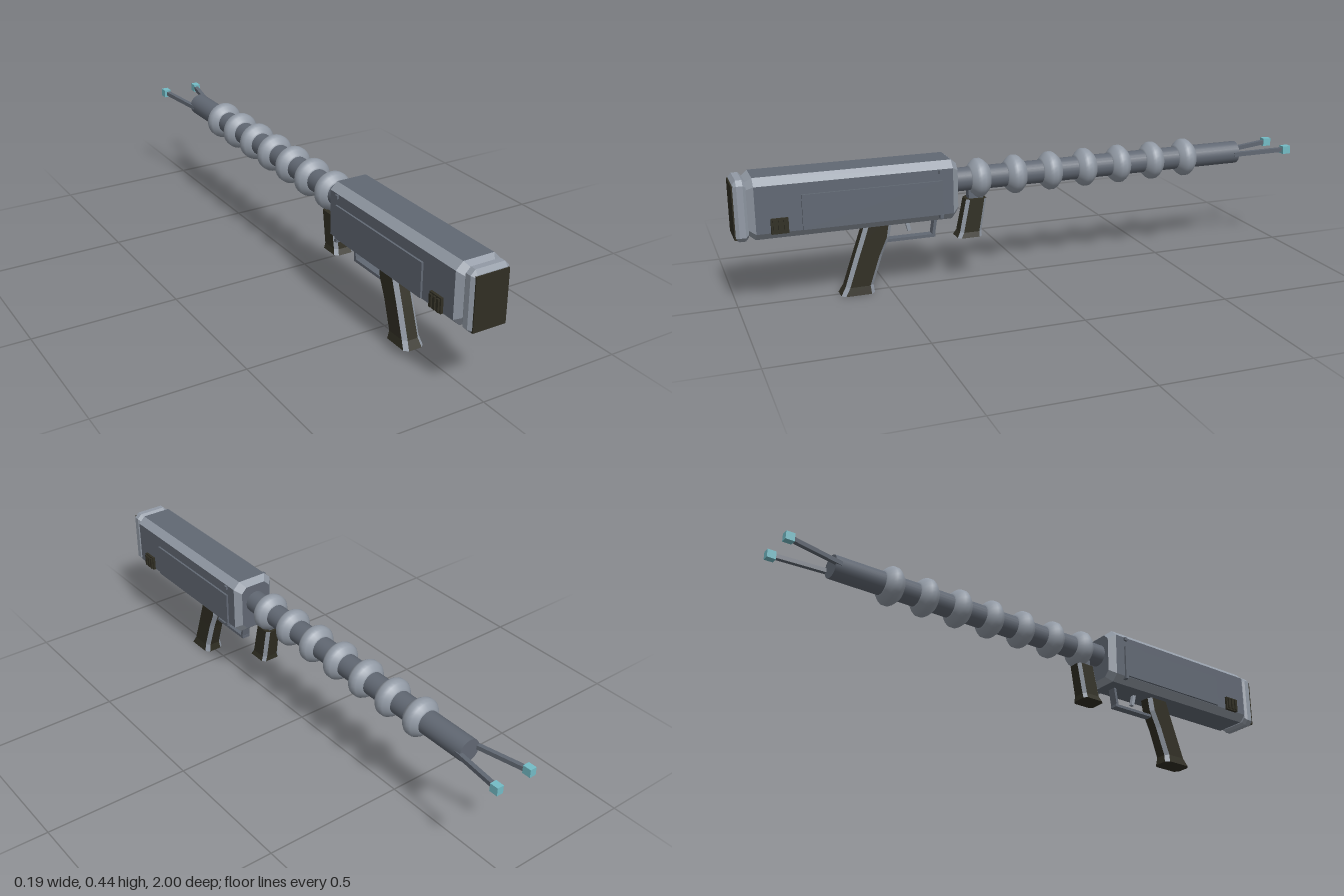
import * as THREE from 'three';

const mat = (name, color) => {
  const m = new THREE.MeshStandardMaterial({ color });
  m.name = name;
  return m;
};

export function createModel() {
  const root = new THREE.Group();
  const slate = mat('slate body', 0x616873);
  const light = mat('light steel', 0x929aa5);
  const dark = mat('dark grip', 0x302e23);
  const cyan = mat('pale cyan', 0x74bcc6);
  const V = (x, y, z) => new THREE.Vector3(x, y, z);

  const add = (name, geo, material, x = 0, y = 0, z = 0) => {
    const m = new THREE.Mesh(geo, material);
    m.name = name;
    m.position.set(x, y, z);
    root.add(m);
    return m;
  };
  const box = (name, material, w, h, d, x, y, z) =>
    add(name, new THREE.BoxGeometry(w, h, d), material, x, y, z);

  // rectangle with cut corners, counter-clockwise
  const octagon = (hu, hv, c) => [
    [hu, c - hv], [hu, hv - c], [hu - c, hv], [c - hu, hv],
    [-hu, hv - c], [-hu, c - hv], [c - hu, -hv], [hu - c, -hv]];

  // skins eight-point rings; material 0 on flats, 1 on bevels
  function loft(name, rings, materials, bevelBands = []) {
    const pos = [[], []];
    const tri = (k, ...pts) => pts.forEach(p => pos[k].push(p.x, p.y, p.z));
    for (let r = 0; r < rings.length - 1; r++) {
      const A = rings[r], B = rings[r + 1];
      for (let i = 0; i < 8; i++) {
        const j = (i + 1) % 8;
        const k = i % 2 || bevelBands.includes(r) ? 1 : 0;
        tri(k, A[i], A[j], B[j]);
        tri(k, A[i], B[j], B[i]);
      }
    }
    const first = rings[0], last = rings[rings.length - 1];
    for (let i = 1; i < 7; i++) {
      tri(0, first[0], first[i + 1], first[i]);
      tri(0, last[0], last[i], last[i + 1]);
    }
    const geo = new THREE.BufferGeometry();
    geo.setAttribute('position', new THREE.Float32BufferAttribute(pos[0].concat(pos[1]), 3));
    geo.addGroup(0, pos[0].length / 3, 0);
    geo.addGroup(pos[0].length / 3, pos[1].length / 3, 1);
    geo.computeVertexNormals();
    return add(name, geo, materials);
  }
  const alongZ = (z, hx, hy, c, cy) => octagon(hx, hy, c).map(([u, v]) => V(u, cy + v, z));
  const alongY = (y, z0, z1, hx, c) =>
    octagon((z1 - z0) / 2, hx, c).map(([u, v]) => V(v, y, (z0 + z1) / 2 + u));

  // beam of rectangular section between two points
  const beam = (name, material, a, b, w, h) => {
    const m = box(name, material, w, h, a.distanceTo(b), 0, 0, 0);
    m.position.copy(a).add(b).multiplyScalar(0.5);
    m.lookAt(b);
    return m;
  };

  // housing
  loft('housing', [
    alongZ(0.27, 0.058, 0.083, 0.02, 0.34),
    alongZ(0.292, 0.078, 0.101, 0.024, 0.34),
    alongZ(0.935, 0.078, 0.101, 0.024, 0.34),
    alongZ(0.96, 0.058, 0.083, 0.02, 0.34)], [slate, light], [0, 2]);

  // butt frame and pad
  loft('buttFrame', [
    alongZ(0.955, 0.06, 0.09, 0.014, 0.337),
    alongZ(0.965, 0.067, 0.1, 0.016, 0.337),
    alongZ(0.985, 0.067, 0.1, 0.016, 0.337),
    alongZ(0.996, 0.058, 0.089, 0.006, 0.334)], [light, light]);
  box('buttPad', dark, 0.116, 0.176, 0.008, 0, 0.333, 0.996);

  // side panels, catches and pins
  for (const s of [-1, 1]) {
    box('sidePanel', slate, 0.008, 0.115, 0.46, s * 0.081, 0.322, 0.56);
    box('catchPlate', dark, 0.012, 0.05, 0.055, s * 0.081, 0.286, 0.862);
    for (let i = 0; i < 3; i++)
      box('catchRib', dark, 0.008, 0.042, 0.01, s * 0.089, 0.286, 0.845 + i * 0.017);
    for (const y of [0.409, 0.258])
      box('sidePin', slate, 0.02, 0.012, 0.012, s * 0.076, y, 0.335);
  }

  // barrel
  const barrel = add('barrel', new THREE.CylinderGeometry(0.04, 0.04, 1.08, 24), slate, 0, 0.355, -0.27);
  barrel.rotation.x = Math.PI / 2;

  // cooling rings with a rounded, bevelled profile
  const profile = [[0.038, -0.034], [0.046, -0.032], [0.06, -0.018], [0.066, -0.008],
    [0.066, 0.008], [0.06, 0.018], [0.046, 0.032], [0.038, 0.034]]
    .map(([r, h]) => new THREE.Vector2(r, h));
  const ringGeo = new THREE.LatheGeometry(profile, 28);
  for (let i = 0; i < 7; i++)
    add('coolingRing', ringGeo, light, 0, 0.355, 0.18 - i * 0.1297).rotation.x = Math.PI / 2;

  // forked prongs with block tips
  for (const s of [-1, 1]) {
    beam('prong', slate, V(s * 0.033, 0.354, -0.79), V(s * 0.064, 0.364, -0.98), 0.015, 0.015);
    box('prongTip', cyan, 0.024, 0.028, 0.03, s * 0.066, 0.364, -0.985);
  }

  // rear grip, flared at the foot
  loft('rearGrip', [
    alongY(0.002, 0.555, 0.668, 0.037, 0.013),
    alongY(0.03, 0.558, 0.652, 0.032, 0.013),
    alongY(0.13, 0.524, 0.618, 0.031, 0.013),
    alongY(0.19, 0.497, 0.597, 0.031, 0.013),
    alongY(0.25, 0.487, 0.577, 0.031, 0.013)], [dark, light]);

  // forward grip
  loft('forwardGrip', [
    alongY(0.157, 0.178, 0.264, 0.037, 0.011),
    alongY(0.175, 0.178, 0.254, 0.032, 0.011),
    alongY(0.288, 0.158, 0.23, 0.03, 0.011)], [dark, light]);
  box('gripMount', slate, 0.03, 0.05, 0.05, 0, 0.305, 0.194);

  // trigger guard and trigger
  beam('guardBottom', slate, V(0, 0.173, 0.52), V(0, 0.173, 0.338), 0.03, 0.01);
  beam('guardFront', slate, V(0, 0.17, 0.346), V(0, 0.245, 0.334), 0.03, 0.01);
  beam('trigger', light, V(0, 0.245, 0.437), V(0, 0.197, 0.425), 0.014, 0.012);

  return root;
}
